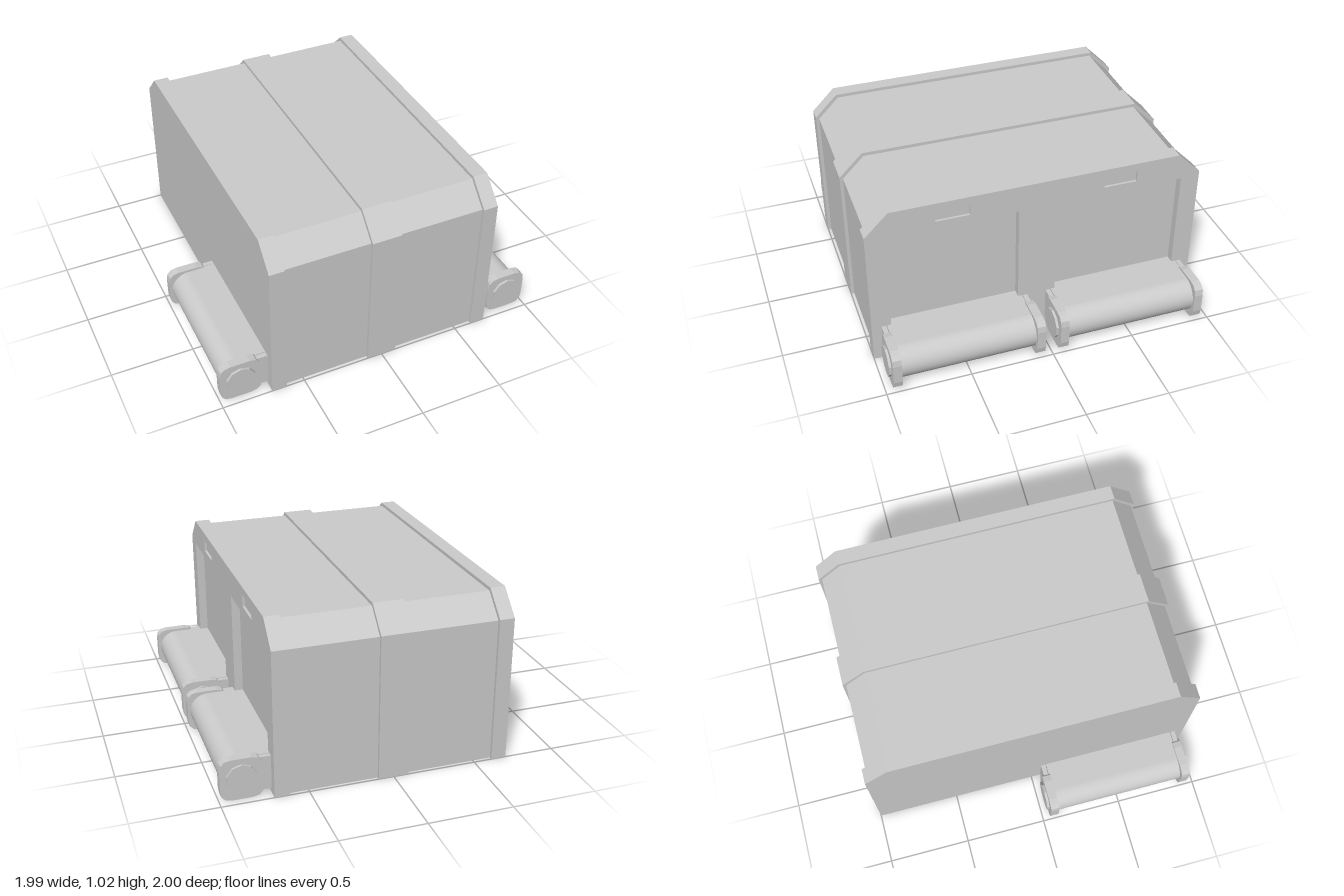
import * as THREE from 'three';

const mat = new THREE.MeshStandardMaterial({ color: 0xcccccc, side: THREE.DoubleSide });
const flat = new THREE.MeshStandardMaterial({ color: 0xcccccc, flatShading: true });

function add(parent, geometry, name, material = flat) {
  const mesh = new THREE.Mesh(geometry, material);
  mesh.name = name;
  parent.add(mesh);
  return mesh;
}

// Half outline of the housing (depth, height), inset by d
const half = d => [[1 - d, 0], [1 - d, 0.88 - d / 2], [0.86 - d / 2, 1.02 - d]];
const outline = d => {
  const h = half(d);
  return [...h, ...h.map(([u, y]) => [-u, y]).reverse()];
};
const toShape = pts => new THREE.Shape(pts.map(([u, y]) => new THREE.Vector2(u, y)));

// Arch-shaped strip between x0 and x1, from inset d0 to inset d1
function arch(x0, x1, d0, d1) {
  const shape = toShape([...outline(d0), ...outline(d1).reverse()]);
  const g = new THREE.ExtrudeGeometry(shape, { depth: x1 - x0, bevelEnabled: false });
  return g.rotateY(Math.PI / 2).translate(x0, 0, 0);
}

// Recess lined on all sides but the outer one
function pocket(depth, y0, y1, z0, z1) {
  const g = new THREE.BoxGeometry(depth, y1 - y0, z1 - z0);
  g.setIndex(Array.from(g.index.array).slice(6));
  g.clearGroups();
  return g.translate(0.7 - depth / 2, (y0 + y1) / 2, (z0 + z1) / 2);
}

const DOOR = { near: 0.115, far: 0.885, top: 0.855 };

function addPockets(parent, zs) {
  for (const s of zs) {
    const zc = s * 0.5, w = (DOOR.far - DOOR.near) / 2;
    add(parent, pocket(0.05, 0, DOOR.top, zc - w, zc + w), 'doorRecess', mat);
    add(parent, pocket(0.015, 0.9, 0.97, zc - 0.1, zc + 0.1), 'signRecess', mat);
  }
}

// Side wall with two door openings and a small slot above each
function doorWall() {
  const { near, far, top } = DOOR;
  const shape = toShape([
    ...outline(0.02),
    [-far, 0], [-far, top], [-near, top], [-near, 0],
    [near, 0], [near, top], [far, top], [far, 0],
  ]);
  for (const c of [-0.5, 0.5]) {
    const hole = new THREE.Path();
    hole.moveTo(c - 0.1, 0.9).lineTo(c - 0.1, 0.97).lineTo(c + 0.1, 0.97).lineTo(c + 0.1, 0.9).closePath();
    shape.holes.push(hole);
  }
  return new THREE.ShapeGeometry(shape).rotateY(Math.PI / 2).translate(0.7, 0, 0);
}

function roundedRect(x0, y0, x1, y1, r) {
  const s = new THREE.Shape();
  s.moveTo(x0 + r, y0).lineTo(x1 - r, y0).quadraticCurveTo(x1, y0, x1, y0 + r);
  s.lineTo(x1, y1 - r).quadraticCurveTo(x1, y1, x1 - r, y1);
  s.lineTo(x0 + r, y1).quadraticCurveTo(x0, y1, x0, y1 - r);
  s.lineTo(x0, y0 + r).quadraticCurveTo(x0, y0, x0 + r, y0);
  return s;
}

// Conveyor reaching from inside the housing out through the +x wall
function conveyor() {
  const group = new THREE.Group();
  group.name = 'conveyor';
  const cx = 0.87, cy = 0.128, r = 0.107;

  // Belt: flat run with a round outer end, smooth around the bend
  const shape = new THREE.Shape();
  shape.moveTo(0.22, cy - r).lineTo(cx, cy - r);
  shape.absarc(cx, cy, r, -Math.PI / 2, Math.PI / 2, false);
  shape.lineTo(0.22, cy + r).closePath();
  const belt = new THREE.ExtrudeGeometry(shape, { depth: 0.82, bevelEnabled: false, curveSegments: 24 });
  add(group, belt.translate(0, 0, -0.41), 'belt');

  for (const s of [-1, 1]) {
    // Side rail, end plate and axle cap
    const rail = new THREE.BoxGeometry(0.6, 0.205, 0.028).translate(0.5, 0.131, s * 0.428);
    add(group, rail, 'sideRail');
    const plate = new THREE.ExtrudeGeometry(roundedRect(0.745, 0, 0.993, 0.25, 0.065),
      { depth: 0.052, bevelEnabled: false, curveSegments: 3 });
    add(group, plate.translate(0, 0, s * 0.428 - 0.026), 'endPlate');
    const cap = new THREE.CylinderGeometry(0.09, 0.09, 0.04, 10).rotateX(Math.PI / 2);
    add(group, cap.translate(cx, cy, s * 0.448), 'axleCap');
  }
  return group;
}

export function createModel() {
  const model = new THREE.Group();
  model.name = 'conveyorHousing';

  // Raised bands with recessed panels between them
  for (const [a, b] of [[-0.7, -0.61], [-0.09, 0.09], [0.61, 0.7]]) {
    add(model, arch(a, b, 0, 0.02), 'raisedBand');
  }
  for (const [a, b] of [[-0.61, -0.09], [0.09, 0.61]]) {
    add(model, arch(a, b, 0.02, 0.04), 'shellPanel');
  }

  // Side with two doors
  add(model, doorWall(), 'doorWall', mat);
  addPockets(model, [-1, 1]);

  // Plain side, with the door box showing only on the inside
  const plain = new THREE.ShapeGeometry(toShape(outline(0.02)));
  add(model, plain.rotateY(-Math.PI / 2).translate(-0.7, 0, 0), 'plainWall', mat);
  const inner = new THREE.Group();
  inner.name = 'innerDoor';
  addPockets(inner, [-1]);
  inner.rotation.y = Math.PI;
  model.add(inner);

  // Two conveyors on one side, one on the other
  for (const [z, turn] of [[0.5, 0], [-0.5, 0], [0.5, Math.PI]]) {
    const c = conveyor();
    c.position.z = z;
    c.rotation.y = turn;
    model.add(c);
  }
  return model;
}
